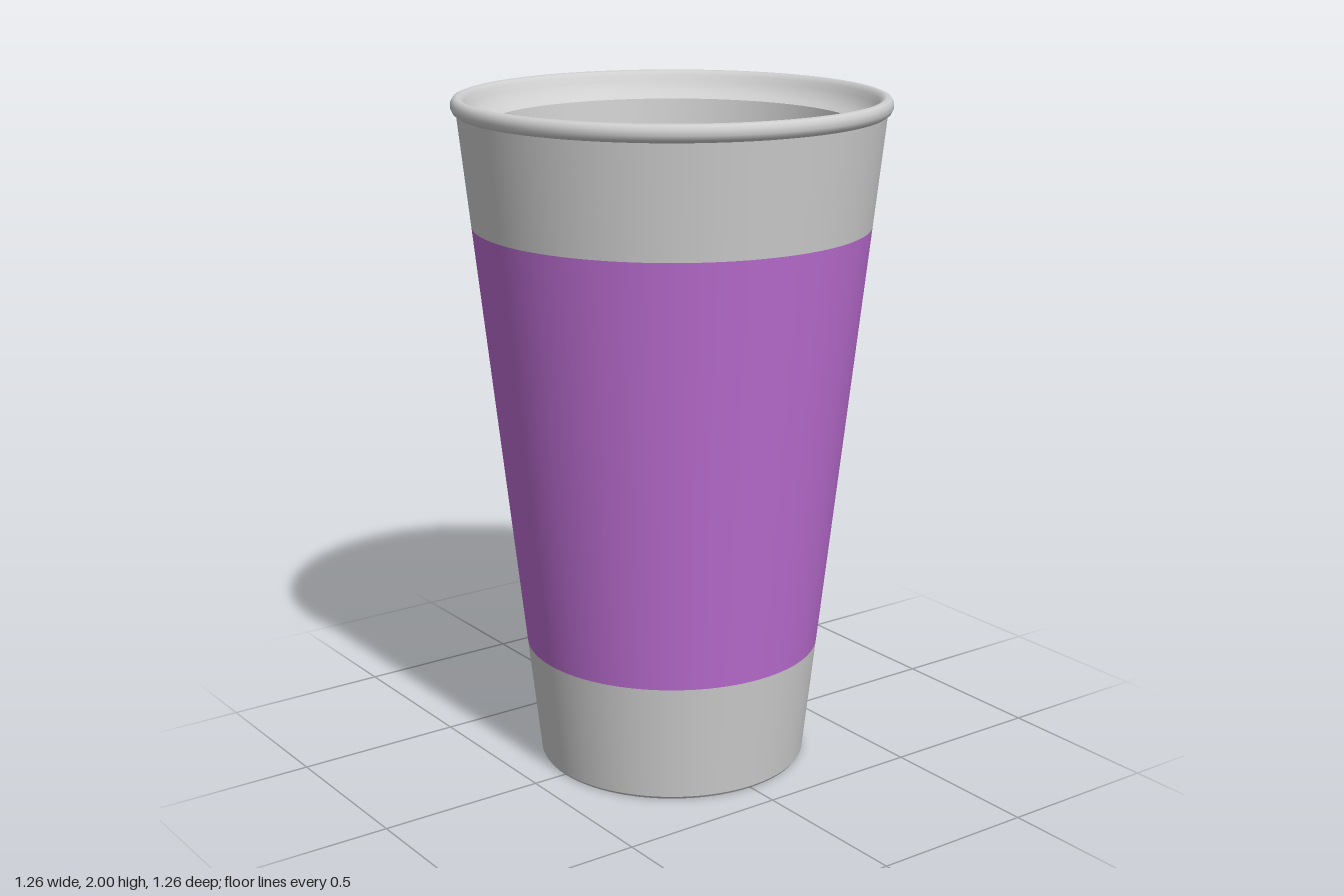
import * as THREE from 'three';

const SEGMENTS = 96;

export function createModel() {
  const cup = new THREE.Group();
  cup.name = 'cup';

  const grey = new THREE.MeshStandardMaterial({ color: 0xcfcfcf });
  grey.name = 'light grey';
  const purple = new THREE.MeshStandardMaterial({ color: 0xbb6dd1 });
  purple.name = 'purple';

  // Each part is a ring of the same turned profile, given as [radius, height]
  const turn = (name, profile, material) => {
    const points = profile.map(([r, y]) => new THREE.Vector2(r, y));
    const mesh = new THREE.Mesh(new THREE.LatheGeometry(points, SEGMENTS), material);
    mesh.name = name;
    cup.add(mesh);
  };

  // Outer wall: one straight taper split into three bands
  const wall = (y) => [0.4 + (0.212 * y) / 1.95, y];
  turn('base', [[0, 0], [0.395, 0]], grey);
  turn('baseEdge', [[0.395, 0], wall(0.008)], grey);
  turn('lowerWall', [wall(0.008), wall(0.36)], grey);
  turn('sleeve', [wall(0.36), wall(1.63)], purple);
  turn('upperWall', [wall(1.63), wall(1.95)], grey);

  // Rolled rim, falling inward to a sharp inner lip
  turn('rim', [
    [0.612, 1.95], [0.622, 1.957], [0.628, 1.97], [0.627, 1.985], [0.62, 1.996],
    [0.609, 2], [0.598, 1.996], [0.589, 1.985], [0.581, 1.968], [0.568, 1.948],
    [0.55, 1.932], [0.53, 1.92],
  ], grey);

  // Inner wall with a rounded corner into the floor
  turn('interior', [
    [0.53, 1.92], [0.43, 1], [0.342, 0.19], [0.337, 0.15], [0.328, 0.115],
    [0.315, 0.092], [0.295, 0.082], [0.27, 0.08], [0, 0.08],
  ], grey);

  return cup;
}
